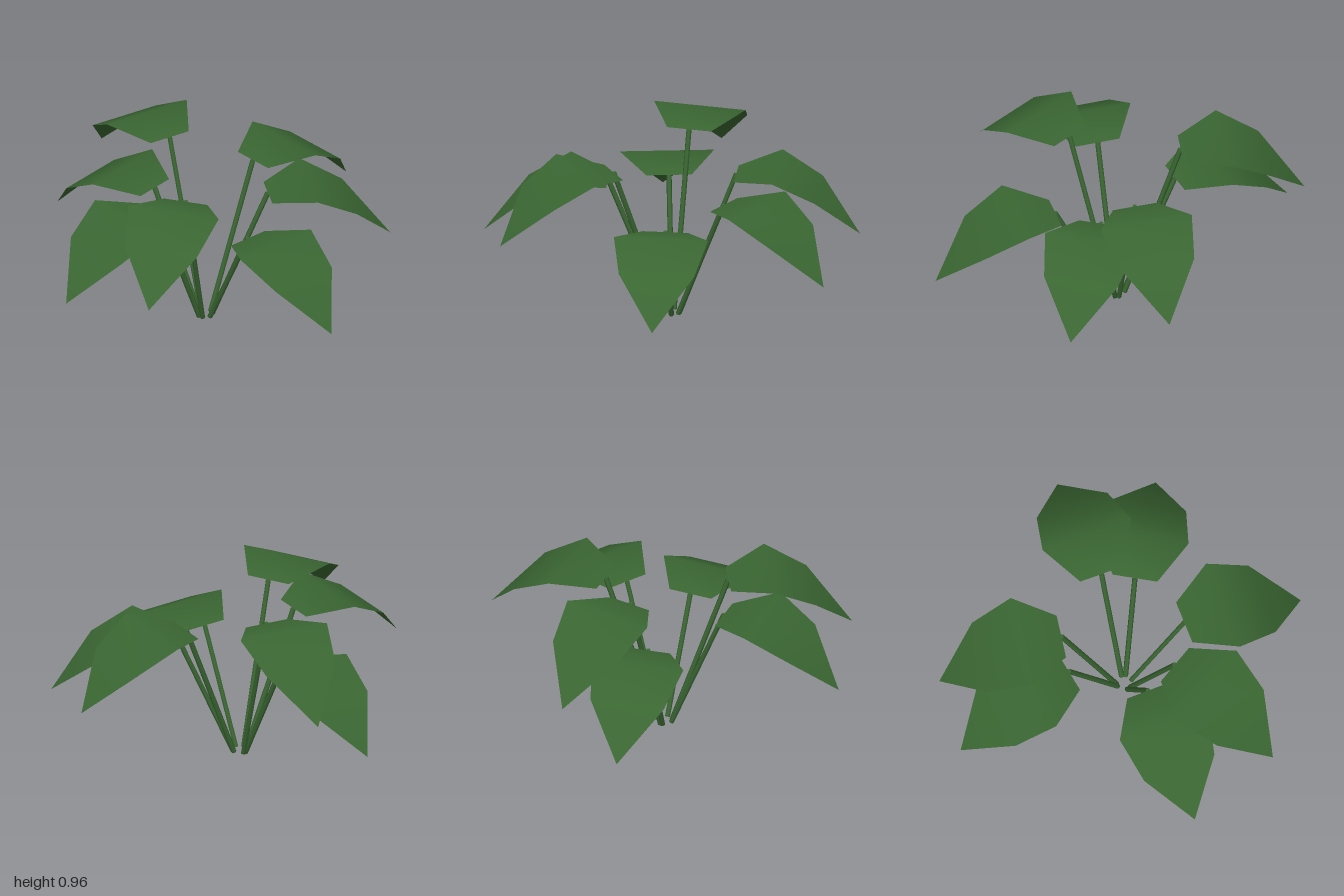
import * as THREE from 'three';

const leafGreen = new THREE.MeshStandardMaterial({ color: 0x3a6632, side: THREE.DoubleSide });
leafGreen.name = 'leaf green';

// Leaf cross-sections: distance from the centre, rise above the stem top, half width
const SECTIONS = [
  [0.34, 0.0, 0.12],
  [0.56, 0.05, 0.25],
  [0.78, -0.07, 0.2],
];
const TIP = [1.0, -0.31];

// Each leaf: heading in degrees (0 = +x, 90 = +z) and stem top height
const LEAVES = [
  [0, 0.6], [171, 0.65], [-59.3, 0.7], [89.2, 0.75],
  [-89.6, 0.81], [59.3, 0.86], [-171, 0.915],
];

// Thin arched blade, flat across its width and ending in a point
function leafGeometry() {
  const pos = [];
  const index = [];
  SECTIONS.forEach(([r, y, w], i) => {
    pos.push(r, y, -w, r, y, w);
    if (i > 0) {
      const a = 2 * i - 2;
      index.push(a, a + 1, a + 2, a + 1, a + 3, a + 2);
    }
  });
  const last = 2 * SECTIONS.length - 2;
  pos.push(TIP[0], TIP[1], 0);
  index.push(last, last + 1, last + 2);
  const geo = new THREE.BufferGeometry();
  geo.setAttribute('position', new THREE.Float32BufferAttribute(pos, 3));
  geo.setIndex(index);
  geo.computeVertexNormals();
  return geo;
}

// Straight stem between two points
function makeStem(from, to) {
  const dir = to.clone().sub(from);
  const stem = new THREE.Mesh(new THREE.CylinderGeometry(0.014, 0.014, dir.length(), 6), leafGreen);
  stem.position.copy(from).add(to).multiplyScalar(0.5);
  stem.quaternion.setFromUnitVectors(new THREE.Vector3(0, 1, 0), dir.normalize());
  stem.name = 'stem';
  return stem;
}

export function createModel() {
  const plant = new THREE.Group();
  plant.name = 'plant';
  const blade = leafGeometry();
  LEAVES.forEach(([angle, height], i) => {
    const frond = new THREE.Group();
    frond.name = `frond${i + 1}`;
    const leaf = new THREE.Mesh(blade, leafGreen);
    leaf.name = 'leaf';
    leaf.position.y = height;
    const stem = makeStem(new THREE.Vector3(0.04, 0.007, 0), new THREE.Vector3(0.34, height, 0));
    frond.add(leaf, stem);
    frond.rotation.y = -THREE.MathUtils.degToRad(angle);
    frond.position.x = -0.005;
    plant.add(frond);
  });
  return plant;
}
